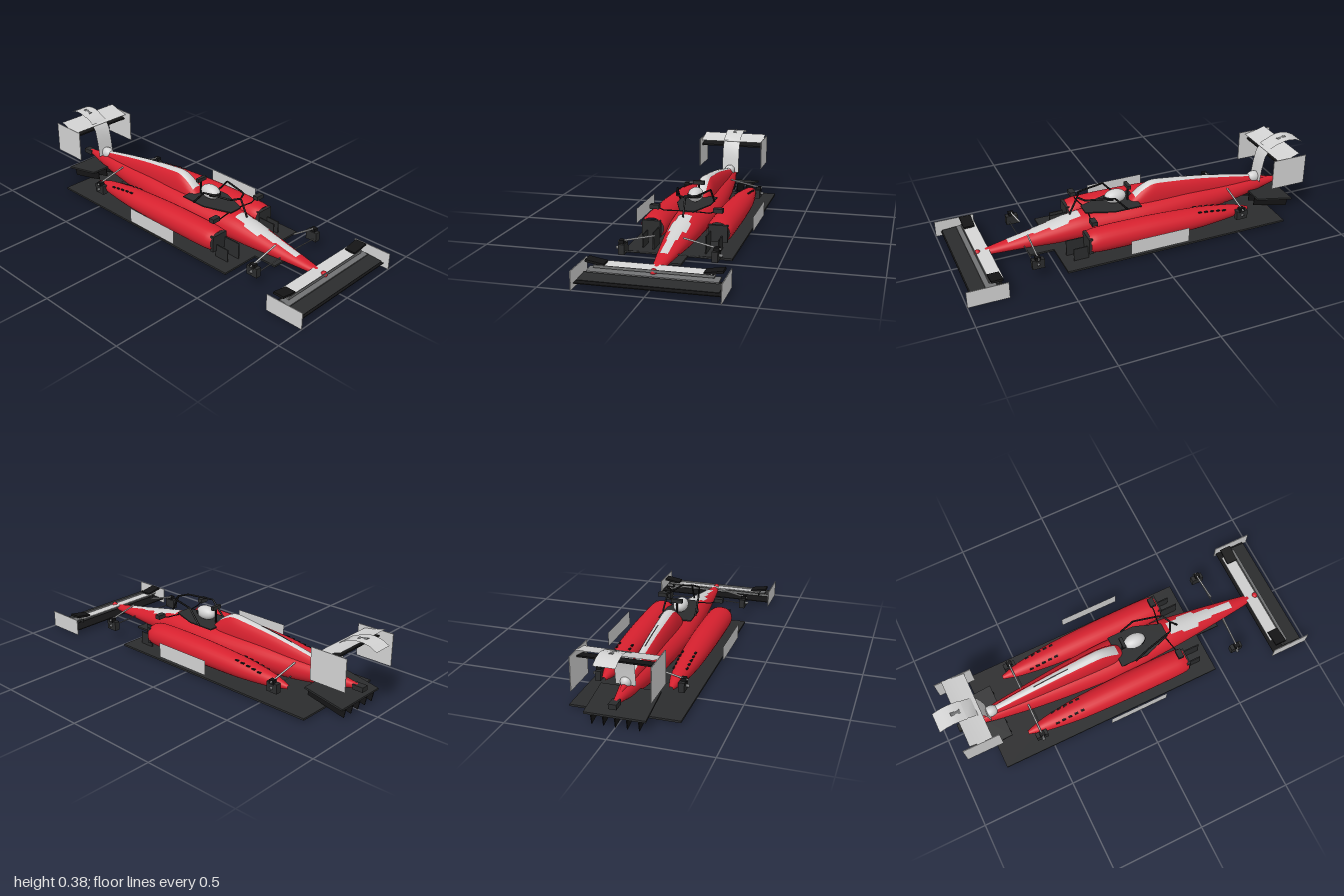
import * as THREE from 'three';

const mat = (name, color, side = THREE.FrontSide) => {
  const m = new THREE.MeshStandardMaterial({ color, side });
  m.name = name;
  return m;
};

export function createModel() {
  const car = new THREE.Group();
  car.name = 'racingCar';
  const red = mat('red', 0xd6202e);
  const white = mat('lightGrey', 0xd2d2d2, THREE.DoubleSide);
  const dark = mat('darkGrey', 0x2b2c2d, THREE.DoubleSide);
  const black = mat('black', 0x141415);
  const grey = mat('midGrey', 0x707172);

  const add = (name, geo, m, x = 0, y = 0, z = 0) => {
    const mesh = new THREE.Mesh(geo, m);
    mesh.name = name;
    mesh.position.set(x, y, z);
    car.add(mesh);
    return mesh;
  };
  // box given by its minimum and maximum corners
  const box = (name, m, a, b) => add(name,
    new THREE.BoxGeometry(b[0] - a[0], b[1] - a[1], b[2] - a[2]), m,
    (a[0] + b[0]) / 2, (a[1] + b[1]) / 2, (a[2] + b[2]) / 2);
  const tube = (name, m, pts, r) => {
    const path = new THREE.CurvePath();
    const v = pts.map(p => new THREE.Vector3(...p));
    for (let i = 1; i < v.length; i++) path.add(new THREE.LineCurve3(v[i - 1], v[i]));
    return add(name, new THREE.TubeGeometry(path, (v.length - 1) * 6, r, 8), m);
  };
  // side profile (x, y) extruded across z
  const profile = (name, m, pts, z0, z1) => {
    const g = new THREE.ExtrudeGeometry(new THREE.Shape(pts.map(p => new THREE.Vector2(...p))),
      { depth: z1 - z0, bevelEnabled: false });
    return add(name, g, m, 0, 0, z0);
  };
  // open sheet following a side profile (x, y), from -z to +z
  const sheet = (name, m, pts, z) => {
    const g = new THREE.PlaneGeometry(1, 1, 1, pts.length - 1);
    const p = g.attributes.position;
    for (let i = 0; i < p.count; i++) p.setXYZ(i, ...pts[Math.floor(i / 2)], i % 2 ? -z : z);
    g.computeVertexNormals();
    return add(name, g, m);
  };

  // smooth hull through stations [x, centre y, half width, half height], rear to front
  const hull = st => {
    const c1 = new THREE.CatmullRomCurve3(st.map(s => new THREE.Vector3(s[0], s[1], 0)), false, 'catmullrom', 0.4);
    const c2 = new THREE.CatmullRomCurve3(st.map(s => new THREE.Vector3(s[0], s[2], s[3])), false, 'catmullrom', 0.4);
    return x => {
      let lo = 0, hi = 1;
      for (let i = 0; i < 24; i++) {
        const mid = (lo + hi) / 2;
        if (c1.getPoint(mid).x < x) lo = mid; else hi = mid;
      }
      const s = c2.getPoint(lo);
      return { yc: c1.getPoint(lo).y, w: Math.max(s.y, 0.001), h: Math.max(s.z, 0.001) };
    };
  };
  // skin of a hull; half(x) limits it to a painted strip along the top
  const skin = (at, x0, x1, nx, na, half, lift = 0) => {
    const pos = [], idx = [];
    for (let i = 0; i <= nx; i++) {
      const x = x0 + (x1 - x0) * i / nx, s = at(x);
      const lim = half ? Math.asin(Math.min(0.95, half(x) / s.w)) : Math.PI;
      for (let j = 0; j <= na; j++) {
        const a = -lim + 2 * lim * j / na;
        pos.push(x, s.yc + (s.h + lift) * Math.cos(a), (s.w + lift) * Math.sin(a));
        if (i < nx && j < na) {
          const p = i * (na + 1) + j, q = p + na + 1;
          idx.push(p, p + 1, q, p + 1, q + 1, q);
        }
      }
    }
    const g = new THREE.BufferGeometry();
    g.setAttribute('position', new THREE.Float32BufferAttribute(pos, 3));
    g.setIndex(idx);
    g.computeVertexNormals();
    return g;
  };

  // main body and engine cover
  const body = hull([[-0.88, 0.125, 0.012, 0.012], [-0.7, 0.118, 0.045, 0.045], [-0.5, 0.108, 0.07, 0.065],
    [-0.3, 0.11, 0.09, 0.075], [-0.05, 0.11, 0.105, 0.077], [0.1, 0.11, 0.1, 0.074], [0.3, 0.106, 0.087, 0.072],
    [0.45, 0.094, 0.071, 0.058], [0.63, 0.081, 0.049, 0.035], [0.78, 0.069, 0.028, 0.02], [0.82, 0.068, 0.017, 0.014],
    [0.838, 0.067, 0.003, 0.003]]);
  add('body', skin(body, -0.88, 0.838, 70, 36), red);
  const cover = hull([[-0.84, 0.135, 0.004, 0.006], [-0.7, 0.14, 0.025, 0.042], [-0.4, 0.165, 0.042, 0.075],
    [-0.2, 0.175, 0.05, 0.092], [-0.1, 0.175, 0.052, 0.1], [-0.03, 0.175, 0.05, 0.066], [0.03, 0.175, 0.035, 0.012]]);
  add('engineCover', skin(cover, -0.84, 0.03, 50, 28), red);
  add('engineCoverStripe', skin(cover, -0.72, 0.0, 40, 6, x => 0.012 + 0.014 * (x + 0.72) / 0.72, 0.002), white);
  add('spineLine', skin(cover, -0.48, -0.28, 10, 2, () => 0.003, 0.004), dark);
  const noseHalf = x => (x < 0.38 ? 0.034 : x < 0.48 ? 0.046 : x < 0.57 ? 0.028 : 0.019);
  add('noseStripe', skin(body, 0.31, 0.7, 48, 8, noseHalf, 0.002), white);
  add('noseTip', new THREE.SphereGeometry(0.017, 16, 12), red, 0.858, 0.069, 0);

  // cockpit surround, helmet and head protection frame
  const rim = new THREE.Shape([[-0.01, -0.09], [0.14, -0.09], [0.285, -0.038], [0.285, 0.038], [0.14, 0.09], [-0.01, 0.09]]
    .map(p => new THREE.Vector2(...p)));
  add('cockpitSurround', new THREE.ExtrudeGeometry(rim, { depth: 0.006, bevelEnabled: false }).rotateX(-Math.PI / 2),
    dark, 0, 0.185, 0);
  add('helmet', new THREE.SphereGeometry(1, 24, 16).scale(0.06, 0.037, 0.039), white, 0.105, 0.229, 0);
  add('visor', new THREE.SphereGeometry(1, 20, 4, Math.PI * 0.62, Math.PI * 0.76, 1.25, 0.5)
    .scale(0.062, 0.039, 0.041), black, 0.105, 0.229, 0);
  tube('frontStrut', black, [[0.36, 0.178, 0], [0.315, 0.268, 0]], 0.005);
  box('cameraPole', black, [0.03, 0.185, -0.004], [0.038, 0.27, 0.004]);
  box('cameraPod', dark, [0.026, 0.266, -0.03], [0.044, 0.286, 0.03]);

  // main floor and front plank
  box('floor', dark, [-0.775, 0.012, -0.275], [0.47, 0.022, 0.275]);
  box('floorPlank', dark, [0.47, 0.012, -0.055], [0.6, 0.022, 0.055]);

  // side parts
  const pod = hull([[-0.6, 0.085, 0.01, 0.01], [-0.5, 0.09, 0.036, 0.034], [-0.3, 0.095, 0.06, 0.054],
    [-0.05, 0.1, 0.069, 0.063], [0.18, 0.101, 0.07, 0.065], [0.29, 0.101, 0.068, 0.061], [0.325, 0.101, 0.06, 0.052]]);
  for (const s of [1, -1]) {
    const side = s > 0 ? 'left' : 'right';
    const sbox = (name, m, a, b) => box(side + name, m,
      [a[0], a[1], Math.min(s * a[2], s * b[2])], [b[0], b[1], Math.max(s * a[2], s * b[2])]);
    const stube = (name, m, pts, r) => tube(side + name, m, pts.map(p => [p[0], p[1], s * p[2]]), r);

    add(side + 'Sidepod', skin(pod, -0.6, 0.325, 44, 28), red, 0, 0, s * 0.17);
    sbox('Intake', dark, [0.315, 0.055, 0.125], [0.335, 0.142, 0.22]);
    add(side + 'SidePanel', new THREE.PlaneGeometry(0.325, 0.08), white, -0.0175, 0.1, s * 0.312);
    sbox('InnerBargeboard', dark, [0.33, 0.02, 0.13], [0.43, 0.11, 0.136]);
    sbox('OuterBargeboard', dark, [0.33, 0.02, 0.19], [0.41, 0.09, 0.196]);
    // sidepod cooling slots
    for (let i = 0; i < 5; i++) for (const dz of [-0.035, 0.03]) {
      const x = -0.44 + i * 0.036, p = pod(x), y = p.yc + p.h * Math.sqrt(1 - (dz / p.w) ** 2);
      add(side + 'CoolingSlot', new THREE.BoxGeometry(0.02, 0.006, 0.01), black, x, y, s * (0.17 + dz));
    }
    // mirror
    sbox('Mirror', dark, [0.275, 0.194, 0.14], [0.305, 0.216, 0.188]);
    stube('MirrorStalk', black, [[0.27, 0.185, 0.04], [0.285, 0.186, 0.12], [0.285, 0.2, 0.15]], 0.003);
    // head protection rail
    stube('FrameRail', black, [[0.315, 0.268, 0], [0.29, 0.27, 0.05], [0.14, 0.268, 0.088], [0.07, 0.188, 0.092]], 0.005);
    // suspension: upright, brake caliper, axle stub and rising pushrod
    for (const [end, x, zo, inner] of [['Front', 0.61, 0.23, 0.07], ['Rear', -0.54, 0.215, 0.05]]) {
      sbox(end + 'Upright', dark, [x - 0.032, 0.058, zo - 0.018], [x + 0.032, 0.108, zo + 0.012]);
      sbox(end + 'Caliper', black, [x - 0.012, 0.1, zo - 0.012], [x + 0.016, 0.124, zo + 0.014]);
      stube(end + 'Axle', grey, [[x, 0.083, zo], [x, 0.083, zo + 0.03]], 0.008);
      stube(end + 'Link', grey, [[x + 0.015, 0.07, zo], [x + 0.015, 0.078, 0.04]], 0.003);
      stube(end + 'Pushrod', white, [[x, 0.114, zo + 0.02], [x, 0.155, inner]], 0.0045);
    }
    // wing end plates and front winglets
    sbox('FrontWingEndPlate', white, [0.79, 0.003, 0.338], [1, 0.092, 0.342]);
    sbox('RearWingEndPlate', white, [-0.936, 0.18, 0.187], [-0.738, 0.348, 0.191]);
    const winglet = sbox('FrontWinglet', black, [0.81, 0.086, 0.23], [0.87, 0.097, 0.32]);
    winglet.rotation.x = -s * 0.17;
    sbox('WingletPost', dark, [0.82, 0.05, 0.27], [0.86, 0.09, 0.275]);
  }

  // front wing: main plane, middle flap and light upper flap over a black base
  box('frontWingBase', black, [0.8, 0.024, -0.338], [0.97, 0.028, 0.338]);
  profile('frontWingMain', dark, [[0.87, 0.05], [0.86, 0.038], [0.965, 0.038], [0.968, 0.043]], -0.324, 0.324);
  profile('frontWingMiddleFlap', grey, [[0.84, 0.067], [0.84, 0.06], [0.895, 0.054], [0.895, 0.06]], -0.306, 0.306);
  profile('frontWingUpperFlap', white, [[0.8, 0.084], [0.8, 0.079], [0.868, 0.068], [0.868, 0.073]], -0.28, 0.28);
  box('frontWingUpperFlapLip', grey, [0.868, 0.07, -0.28], [0.873, 0.083, 0.28]);

  // rear wing: lower plane, upper flap, centre pylon flowing into a curved tail plate
  profile('rearWingMain', black, [[-0.86, 0.322], [-0.86, 0.314], [-0.79, 0.3], [-0.79, 0.308]], -0.187, 0.187);
  sheet('rearWingFlap', white, [[-0.895, 0.364], [-0.84, 0.346], [-0.775, 0.334]], 0.187);
  sheet('rearWingPylon', white, [[-0.745, 0.15], [-0.755, 0.23], [-0.77, 0.3], [-0.8, 0.345], [-0.85, 0.366]], 0.05);
  sheet('tailPlate', white, [[-0.85, 0.366], [-0.89, 0.377], [-0.92, 0.379], [-0.96, 0.372], [-1, 0.352]], 0.053);
  const pod2 = add('tailCamera', new THREE.CylinderGeometry(0.012, 0.016, 0.05, 16).rotateZ(Math.PI / 2),
    grey, -0.895, 0.366, 0);
  pod2.rotation.z = -0.25;
  add('tailFairing', new THREE.SphereGeometry(1, 20, 14).scale(0.04, 0.032, 0.03), white, -0.73, 0.165, 0);
  box('tailLight', dark, [-0.92, 0.11, -0.02], [-0.86, 0.135, 0.02]);

  // diffuser: sloping ramp with upright fins
  profile('diffuserRamp', dark, [[-0.9, 0.066], [-0.9, 0.056], [-0.68, 0.098], [-0.68, 0.108]], -0.15, 0.15);
  for (let i = -2; i <= 2; i++) {
    profile('diffuserFin', black, [[-0.9, 0.062], [-0.888, 0.004], [-0.675, 0.052], [-0.68, 0.104]],
      i * 0.0575 - 0.002, i * 0.0575 + 0.002);
  }
  return car;
}
